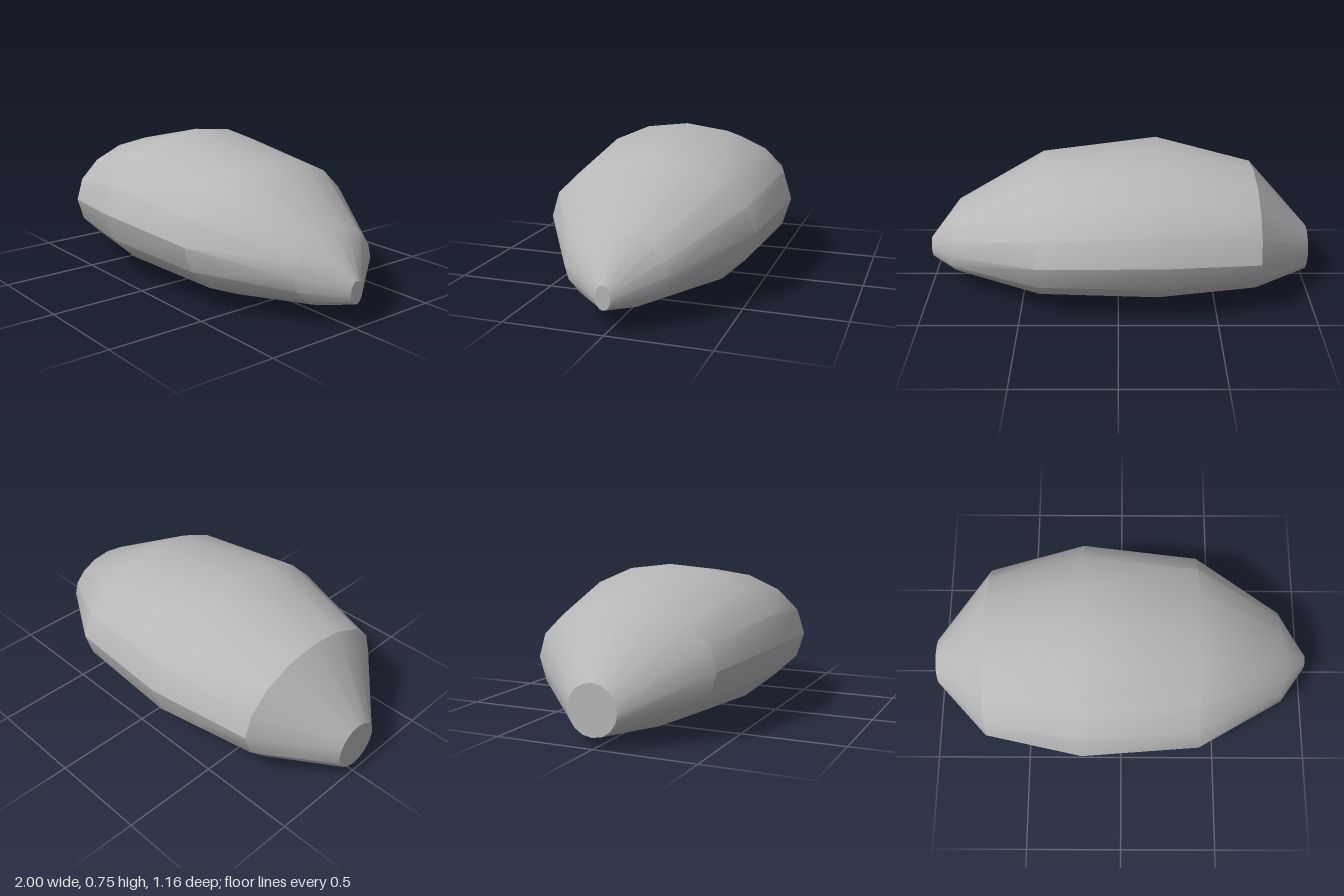
import * as THREE from 'three';
import { toCreasedNormals } from 'three/addons/utils/BufferGeometryUtils.js';

const SIDES = 16;

// Elliptical sections along the length: x, bottom y, top y, half width in z
const SECTIONS = [
  [-1.0, 0.055, 0.30, 0.125],
  [-0.7, 0.03, 0.625, 0.46],
  [-0.2, 0.003, 0.75, 0.58],
  [0.4, 0.01, 0.675, 0.525],
  [0.85, 0.08, 0.43, 0.25],
  [1.0, 0.12, 0.235, 0.037],
];

// Point on a section; side 0 is the top, turning towards +z
function sectionPoint([x, bottom, top, halfWidth], side) {
  const a = ((side % SIDES) / SIDES) * Math.PI * 2;
  return [x, (top + bottom) / 2 + ((top - bottom) / 2) * Math.cos(a), halfWidth * Math.sin(a)];
}

function creased(positions) {
  const geometry = new THREE.BufferGeometry();
  geometry.setAttribute('position', new THREE.Float32BufferAttribute(positions, 3));
  return toCreasedNormals(geometry, Math.PI / 6);
}

// Skin between neighbouring sections
function hullGeometry() {
  const positions = [];
  for (let i = 0; i < SECTIONS.length - 1; i++) {
    for (let j = 0; j < SIDES; j++) {
      const a = sectionPoint(SECTIONS[i], j);
      const b = sectionPoint(SECTIONS[i + 1], j);
      const c = sectionPoint(SECTIONS[i + 1], j + 1);
      const d = sectionPoint(SECTIONS[i], j + 1);
      positions.push(...a, ...d, ...b, ...d, ...c, ...b);
    }
  }
  return creased(positions);
}

// Flat end facing +x or -x
function capGeometry(section, facing) {
  const positions = [];
  const centre = [section[0], (section[1] + section[2]) / 2, 0];
  for (let j = 0; j < SIDES; j++) {
    const p = sectionPoint(section, j);
    const q = sectionPoint(section, j + 1);
    positions.push(...centre, ...(facing > 0 ? [...p, ...q] : [...q, ...p]));
  }
  return creased(positions);
}

export function createModel() {
  const model = new THREE.Group();
  model.name = 'taperedBody';
  const grey = new THREE.MeshStandardMaterial({ color: 0xb8b8b8 });
  grey.name = 'grey';

  const add = (name, geometry) => {
    const mesh = new THREE.Mesh(geometry, grey);
    mesh.name = name;
    model.add(mesh);
  };
  add('hull', hullGeometry());
  add('wideEndCap', capGeometry(SECTIONS[0], -1));
  add('narrowEndCap', capGeometry(SECTIONS[SECTIONS.length - 1], 1));
  return model;
}
